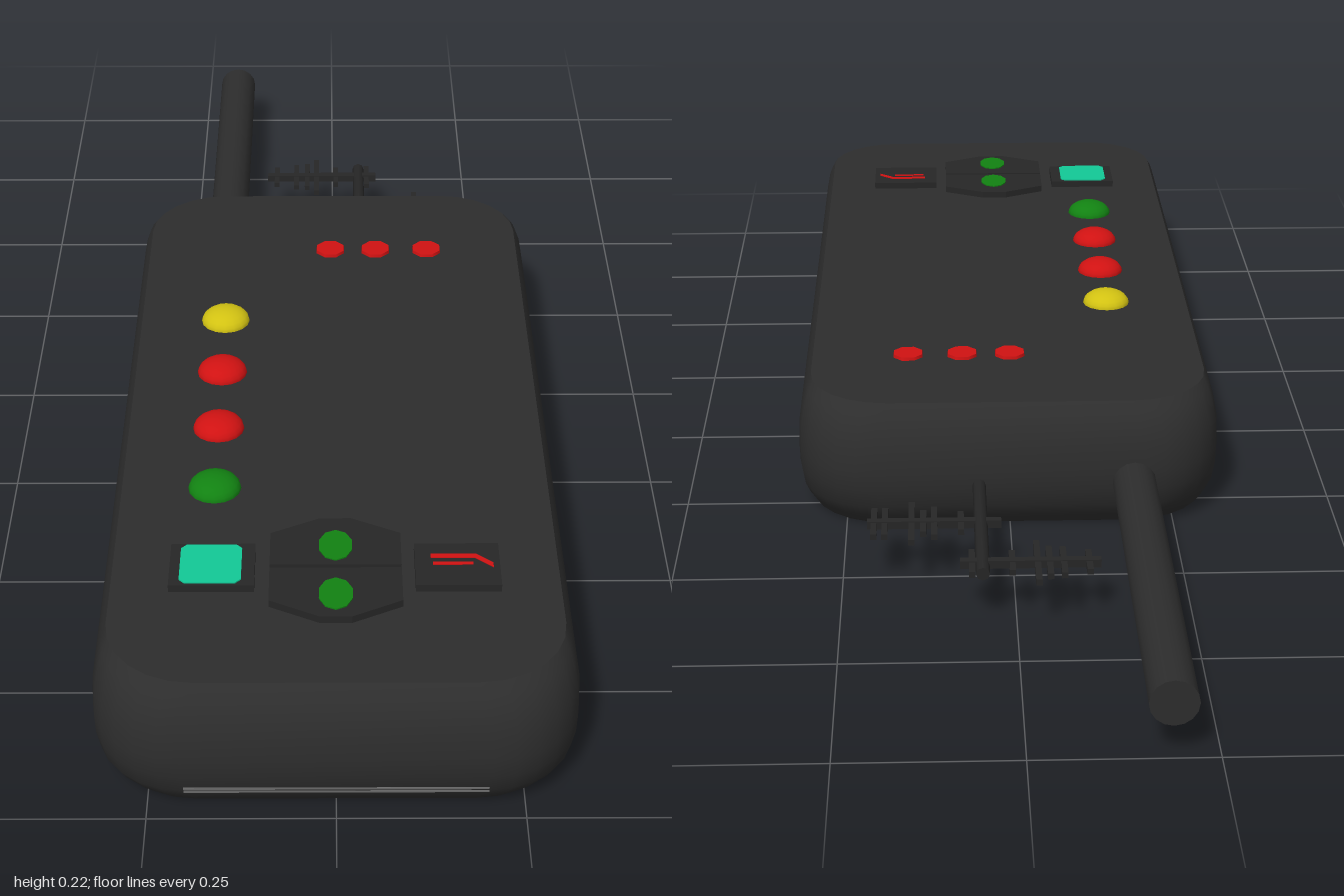
import * as THREE from 'three';

const mat = (name, color) => {
  const m = new THREE.MeshStandardMaterial({ color });
  m.name = name;
  return m;
};

export function createModel() {
  const group = new THREE.Group();
  const M = {
    body: mat('charcoal plastic', 0x2d2d2d),
    key: mat('dark key', 0x262626),
    seam: mat('grey seam', 0x6a6a6a),
    red: mat('red', 0xd01212),
    yellow: mat('yellow', 0xd2c212),
    green: mat('green', 0x128212),
    teal: mat('teal', 0x12c896),
  };
  const add = (name, geo, material, x = 0, y = 0, z = 0) => {
    const mesh = new THREE.Mesh(geo, material);
    mesh.name = name;
    mesh.position.set(x, y, z);
    group.add(mesh);
    return mesh;
  };
  const box = (name, material, w, h, d, x, y, z) => add(name, new THREE.BoxGeometry(w, h, d), material, x, y, z);
  // Flat prism from [x, z] outline points, rising from y0
  const prism = (name, material, pts, y0, h) => {
    const shape = new THREE.Shape(pts.map(([x, z]) => new THREE.Vector2(x, -z)));
    const geo = new THREE.ExtrudeGeometry(shape, { depth: h, bevelEnabled: false });
    geo.rotateX(-Math.PI / 2);
    return add(name, geo, material, 0, y0, 0);
  };

  // Body: rounded-rectangle rings stacked into bulging walls
  const SEG = 6, R = 0.12, CZ = 0.32;
  const ring = (y, inset) => {
    const hx = 0.324 - inset * 0.5, hz = 0.68 - inset, pts = [];
    for (let c = 0; c < 4; c++) {
      const sx = c === 0 || c === 3 ? 1 : -1, sz = c < 2 ? 1 : -1;
      for (let i = 0; i <= SEG; i++) {
        const a = (c + i / SEG) * Math.PI / 2;
        pts.push([sx * (hx - R) + R * Math.cos(a), y, CZ + sz * (hz - R) + R * Math.sin(a)]);
      }
    }
    return pts;
  };
  const rings = [[0, 0.038], [0.02, 0.022], [0.04, 0.01], [0.07, 0.002], [0.1, 0],
    [0.14, 0.003], [0.17, 0.014], [0.187, 0.025], [0.2, 0.038]].map(([y, n]) => ring(y, n));
  const N = rings[0].length;
  const mesh3 = (points, index) => {
    const geo = new THREE.BufferGeometry();
    geo.setAttribute('position', new THREE.Float32BufferAttribute(points.flat(), 3));
    geo.setIndex(index);
    geo.computeVertexNormals();
    return geo;
  };
  const wall = [];
  for (let r = 0; r < rings.length - 1; r++) {
    for (let i = 0; i < N; i++) {
      const j = (i + 1) % N, a = r * N + i, b = r * N + j;
      wall.push(a, a + N, b, b, a + N, b + N);
    }
  }
  add('bodyWalls', mesh3(rings.flat(), wall), M.body);
  const cap = (pts, up) => {
    const index = [];
    for (let i = 0; i < N; i++) {
      const j = (i + 1) % N;
      index.push(N, ...(up ? [j, i] : [i, j]));
    }
    return mesh3([...pts, [0, pts[0][1], CZ]], index);
  };
  add('bodyTop', cap(rings[rings.length - 1], true), M.body);
  add('bodyBottom', cap(rings[0], false), M.body);

  // Fine seam lines across the front
  box('upperSeam', M.seam, 0.4, 0.003, 0.004, 0, 0.046, 0.991);
  box('lowerSeam', M.seam, 0.4, 0.003, 0.004, 0, 0.039, 0.989);

  // Domed buttons down the left of the face
  const dome = new THREE.SphereGeometry(0.038, 16, 6, 0, Math.PI * 2, 0, Math.PI / 2);
  dome.scale(1, 0.58, 1);
  [['yellow', 0.085], ['red', 0.235], ['red', 0.387], ['green', 0.538]].forEach(([c, z]) =>
    add(c + 'Button', dome, M[c], -0.172, 0.2, z));

  // Indicator lamps
  const lamp = new THREE.CylinderGeometry(0.024, 0.025, 0.006, 8);
  lamp.rotateY(Math.PI / 8);
  [-0.005, 0.07, 0.155].forEach((x) => add('indicatorLamp', lamp, M.red, x, 0.202, -0.135));

  // Square keys with a teal pad and a red hook mark
  box('leftKey', M.key, 0.116, 0.014, 0.092, -0.168, 0.204, 0.73);
  box('rightKey', M.key, 0.116, 0.014, 0.092, 0.166, 0.204, 0.73);
  const p = 0.042, q = 0.034;
  prism('tealPad', M.teal, [[-p, -q], [-q, -p], [q, -p], [p, -q], [p, q], [q, p], [-q, p], [-p, q]]
    .map(([x, z]) => [x - 0.17, z + 0.73]), 0.209, 0.004);
  prism('redMark', M.red, [[0.13, 0.708], [0.192, 0.708], [0.215, 0.728], [0.215, 0.738],
    [0.19, 0.717], [0.13, 0.717]], 0.209, 0.003);
  box('redMarkLine', M.red, 0.055, 0.003, 0.006, 0.16, 0.2105, 0.729);

  // Pair of pointed keys, mirrored about their shared edge
  const oval = new THREE.CylinderGeometry(0.024, 0.024, 0.003, 10);
  oval.scale(1, 1, 1.4);
  for (const s of [-1, 1]) {
    const outline = [[-0.09, 0.003], [-0.09, 0.074], [-0.022, 0.108], [0.022, 0.108], [0.09, 0.074], [0.09, 0.003]];
    prism(s < 0 ? 'upKey' : 'downKey', M.key, outline.map(([x, z]) => [x, 0.734 + s * z]), 0.198, 0.013);
    add('keyOval', oval, M.green, 0, 0.2115, 0.742 + s * 0.053);
  }

  // Long main aerial
  const rod = new THREE.CylinderGeometry(0.033, 0.033, 0.68, 16);
  rod.rotateX(Math.PI / 2);
  add('mainAerial', rod, M.body, -0.187, 0.081, -0.66);

  // Small branched aerial: stem, two booms and their cross elements
  const stem = new THREE.CylinderGeometry(0.01, 0.01, 0.315, 8);
  stem.rotateX(Math.PI / 2);
  add('branchStem', stem, M.key, 0.048, 0.08, -0.4875);
  const branch = (x0, x1, z, elements) => {
    box('branchBoom', M.key, x1 - x0, 0.012, 0.012, (x0 + x1) / 2, 0.08, z);
    elements.forEach(([x, len]) => box('branchElement', M.key, 0.009, 0.009, len, x, 0.08, z));
  };
  branch(-0.12, 0.08, -0.612, [[-0.103, 0.06], [-0.067, 0.08], [-0.047, 0.085], [-0.03, 0.12], [0.006, 0.06], [0.063, 0.07]]);
  branch(0.018, 0.214, -0.485, [[0.077, 0.06], [0.116, 0.09], [0.132, 0.07], [0.149, 0.122], [0.188, 0.085], [0.204, 0.085]]);

  return group;
}
